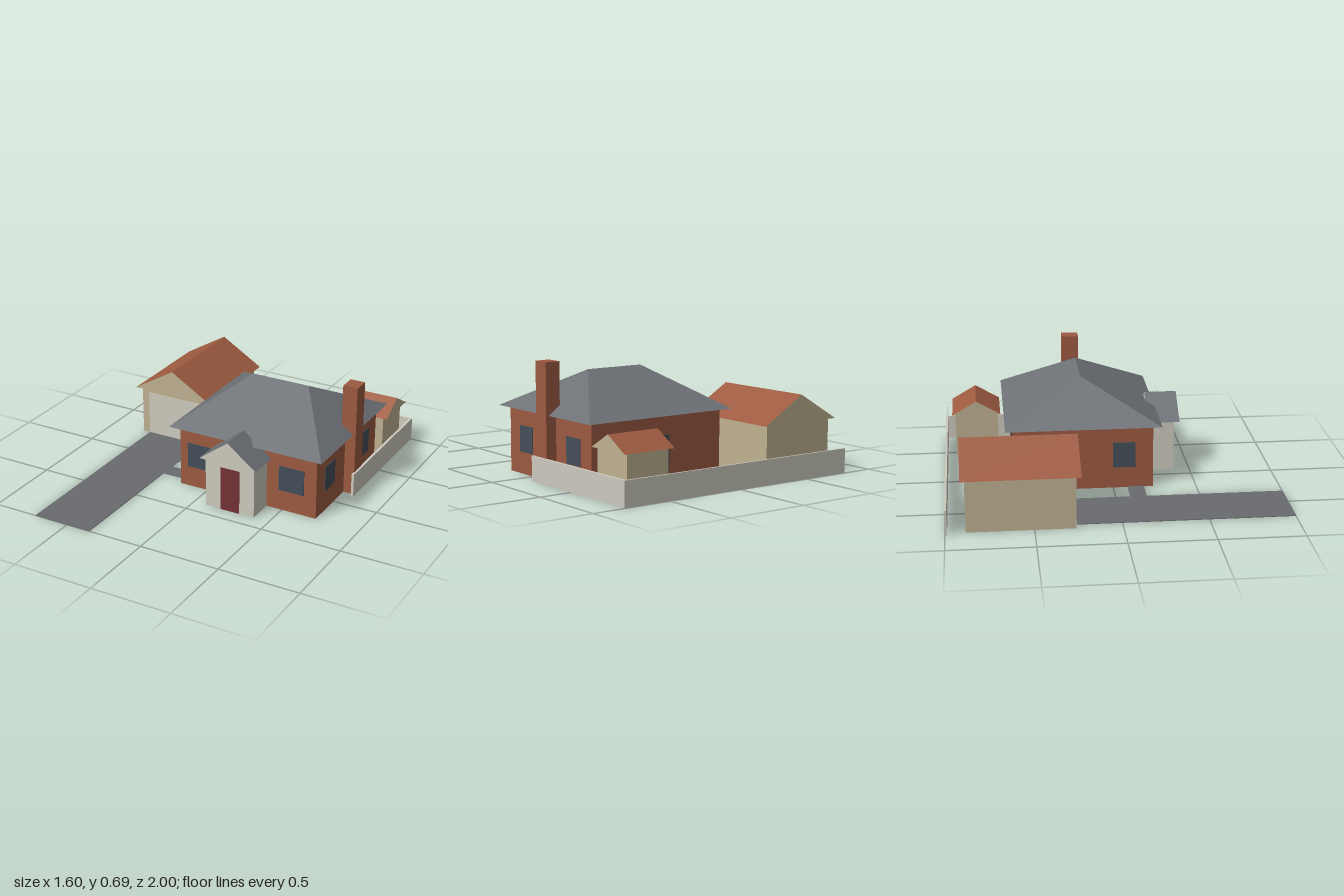
import * as THREE from 'three';

const mat = (name, color) => {
  const m = new THREE.MeshStandardMaterial({ color, side: THREE.DoubleSide, flatShading: true });
  m.name = name;
  return m;
};

export function createModel() {
  const model = new THREE.Group();
  model.name = 'bungalow';

  const brick = mat('brick', 0x9c5a41);
  const terracotta = mat('terracotta', 0x9e5b40);
  const slate = mat('slate', 0x6d7176);
  const sand = mat('sand render', 0xbfb292);
  const stone = mat('pale stone', 0xcdcabe);
  const glass = mat('window glass', 0x444e59);
  const maroon = mat('maroon paint', 0x733236);
  const asphalt = mat('asphalt', 0x6a6b6f);

  const add = (name, geometry, material) => {
    const mesh = new THREE.Mesh(geometry, material);
    mesh.name = name;
    model.add(mesh);
    return mesh;
  };

  // Box given by its minimum and maximum corners
  const box = (name, material, [x0, y0, z0], [x1, y1, z1]) => {
    const g = new THREE.BoxGeometry(x1 - x0, y1 - y0, z1 - z0);
    g.translate((x0 + x1) / 2, (y0 + y1) / 2, (z0 + z1) / 2);
    return add(name, g, material);
  };

  // Four walls, open at the bottom, with an optional ceiling
  const walls = (name, material, min, max, ceiling = false) => {
    const mesh = box(name, material, min, max);
    const index = Array.from(mesh.geometry.index.array);
    index.splice(ceiling ? 18 : 12, ceiling ? 6 : 12);
    mesh.geometry.setIndex(index);
    mesh.geometry.clearGroups();
    return mesh;
  };

  // Closed gable roof with its ridge along z, centred on the origin
  const gableRoof = (name, gable, cover, width, rise, length) => {
    const s = new THREE.Shape();
    s.moveTo(-width / 2, 0);
    s.lineTo(width / 2, 0);
    s.lineTo(0, rise);
    s.closePath();
    const g = new THREE.ExtrudeGeometry(s, { depth: length, bevelEnabled: false });
    g.translate(0, 0, -length / 2);
    return add(name, g, [gable, cover]);
  };

  // Main house walls and hipped roof
  walls('houseWalls', brick, [-0.187, 0, -0.587], [0.721, 0.385, 0.24], true);
  const A = [-0.235, 0.39, 0.29], B = [0.77, 0.39, 0.29];
  const C = [0.77, 0.39, -0.64], D = [-0.235, 0.39, -0.64];
  const E = [0.08, 0.625, -0.175], F = [0.455, 0.625, -0.175];
  const faces = [A, B, F, A, F, E, B, C, F, C, D, E, C, E, F, D, A, E, A, D, C, A, C, B];
  const hip = new THREE.BufferGeometry();
  hip.setAttribute('position', new THREE.Float32BufferAttribute(faces.flat(), 3));
  hip.computeVertexNormals();
  add('houseRoof', hip, slate);

  // Chimney
  box('chimney', brick, [0.695, 0, -0.242], [0.787, 0.694, -0.138]);

  // Windows and doors as thin plates
  for (const x of [-0.135, 0.478]) {
    box('frontWindow', glass, [x, 0.13, 0.238], [x + 0.163, 0.287, 0.244]);
  }
  for (const x of [-0.188, 0.722]) {
    for (const z of [0, -0.482]) {
      box('sideWindow', glass, [x - 0.003, 0.13, z], [x + 0.003, 0.287, z + 0.134]);
    }
  }
  box('backWindow', glass, [0.46, 0.13, -0.591], [0.6, 0.287, -0.585]);
  box('backDoor', glass, [0.185, 0, -0.591], [0.3, 0.275, -0.585]);

  // Porch with a gable running into the main roof
  walls('porchWalls', stone, [0.08, 0, 0.243], [0.4, 0.315, 0.402]);
  gableRoof('porchRoof', stone, slate, 0.372, 0.139, 0.196).position.set(0.241, 0.317, 0.335);
  box('frontDoor', maroon, [0.18, 0, 0.4], [0.304, 0.275, 0.406]);

  // Garage
  walls('garageWalls', sand, [-0.77, 0, -0.885], [-0.29, 0.315, -0.265]);
  gableRoof('garageRoof', sand, terracotta, 0.542, 0.162, 0.674).position.set(-0.531, 0.316, -0.573);
  box('garageDoor', stone, [-0.72, 0, -0.267], [-0.345, 0.285, -0.26]);

  // Garden shed, ridge turned along x
  walls('shedWalls', sand, [0.46, 0, -0.935], [0.738, 0.275, -0.668]);
  const shedRoof = gableRoof('shedRoof', sand, terracotta, 0.302, 0.088, 0.334);
  shedRoof.rotation.y = Math.PI / 2;
  shedRoof.position.set(0.6, 0.274, -0.804);

  // Garden walls and the short link between house and garage
  box('backGardenWall', stone, [-0.8, 0, -1], [0.8, 0.148, -0.988]);
  box('sideGardenWall', stone, [0.784, 0, -0.988], [0.8, 0.148, -0.108]);
  box('linkWall', stone, [-0.29, 0, -0.367], [-0.03, 0.148, -0.353]);

  // Driveway and path
  box('driveway', asphalt, [-0.72, 0, -0.262], [-0.345, 0.004, 1]);
  box('path', asphalt, [-0.345, 0, 0.087], [-0.06, 0.004, 0.185]);

  return model;
}
